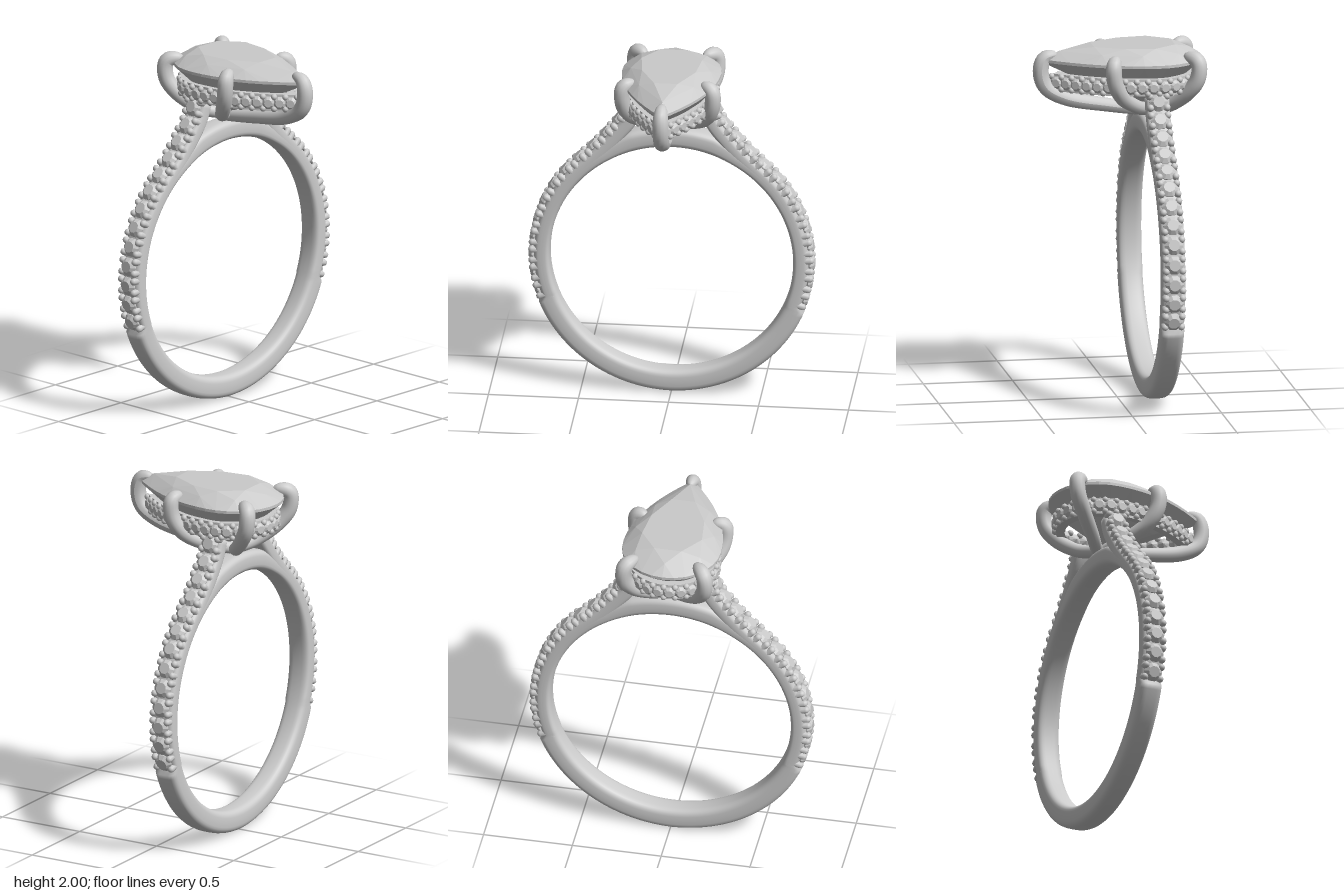
import * as THREE from 'three';
import { ConvexGeometry } from 'three/addons/geometries/ConvexGeometry.js';

const BAND_Z = -0.19, BAND_Y = 0.805, INNER_R = 0.675;
const V2 = (x, y) => new THREE.Vector2(x, y);
const V3 = (x, y, z) => new THREE.Vector3(x, y, z);
const rad = THREE.MathUtils.degToRad;

// Rounded-rectangle section swept along stations {c, n, h, w}
function sweep(stations, closed) {
  const M = 28, N = stations.length, pos = [], idx = [];
  const soft = (v) => Math.sign(v) * Math.pow(Math.abs(v), 0.6);
  for (const { c, n, h, w } of stations) {
    for (let j = 0; j < M; j++) {
      const a = (j / M) * Math.PI * 2, k = h * soft(Math.cos(a));
      pos.push(c.x + n.x * k, c.y + n.y * k, w * soft(Math.sin(a)));
    }
  }
  for (let i = 0; i < (closed ? N : N - 1); i++) {
    for (let j = 0; j < M; j++) {
      const i2 = (i + 1) % N, j2 = (j + 1) % M;
      const a = i * M + j, b = i2 * M + j, c = i2 * M + j2, d = i * M + j2;
      idx.push(a, b, d, b, c, d);
    }
  }
  const g = new THREE.BufferGeometry();
  g.setAttribute('position', new THREE.Float32BufferAttribute(pos, 3));
  g.setIndex(idx);
  g.computeVertexNormals();
  return g;
}

// Outer radius of the band at a given elevation in degrees
function outerRadius(el) {
  if (el < -21) return 0.795 + 0.01 * ((-21 - el) / 69);
  if (el < 60) return 0.76;
  return 0.76 + 0.03 * Math.min(1, (el - 60) / 12);
}

// Pear outline in (x, z), t in 0..1 starting at the point, scaled about its middle
function pear(t, s = 1) {
  const side = t < 0.5 ? 1 : -1, u = t < 0.5 ? t * 2 : (1 - t) * 2;
  let x, z;
  if (u < 0.58) {
    const k = 1 - u / 0.58;
    x = 0.275 * (1 - k * k);
    z = -0.195 + 0.615 * k;
  } else {
    const a = ((u - 0.58) / 0.42) * Math.PI / 2;
    x = 0.275 * Math.cos(a);
    z = -0.195 - 0.275 * Math.sin(a);
  }
  return V2(side * x * s, -0.1 + (z + 0.1) * s);
}

// Small round cut stone, table towards +y
function roundStone(r) {
  const p = [V2(0, -0.6 * r), V2(r, -0.05 * r), V2(r, 0.06 * r), V2(0.6 * r, 0.42 * r), V2(0, 0.42 * r)];
  const g = new THREE.LatheGeometry(p, 10).toNonIndexed();
  g.computeVertexNormals();
  return g;
}

// Tapered claw along a smooth path
function claw(points) {
  const SEG = 48, RAD = 14;
  const path = new THREE.CatmullRomCurve3(points.map((p) => V3(...p)));
  const g = new THREE.TubeGeometry(path, SEG, 0.042, RAD);
  const pos = g.attributes.position, v = V3(0, 0, 0);
  for (let i = 0; i <= SEG; i++) {
    const u = i / SEG, c = path.getPointAt(u);
    const tip = u > 0.82 ? Math.sqrt(Math.max(0, 1 - ((u - 0.82) / 0.18) ** 2)) : 1;
    const f = tip * (0.8 + 0.25 * Math.min(1, u / 0.6));
    for (let j = 0; j <= RAD; j++) {
      const k = i * (RAD + 1) + j;
      v.fromBufferAttribute(pos, k).sub(c).multiplyScalar(f).add(c);
      pos.setXYZ(k, v.x, v.y, v.z);
    }
  }
  g.computeVertexNormals();
  return g;
}

export function createModel() {
  const metal = new THREE.MeshStandardMaterial({ color: 0xcccccc });
  metal.name = 'metal';
  const gem = new THREE.MeshStandardMaterial({ color: 0xcacaca });
  gem.name = 'gemstone';
  const model = new THREE.Group();
  model.name = 'ring';
  const add = (parent, name, geo, mat, at, up) => {
    const m = new THREE.Mesh(geo, mat);
    m.name = name;
    if (at) m.position.copy(at);
    if (up) m.quaternion.setFromUnitVectors(V3(0, 1, 0), up);
    parent.add(m);
    return m;
  };

  // Band with its bridge under the setting
  const ring = [];
  for (let i = 0; i < 180; i++) {
    const a = rad(i * 2), n = V2(Math.cos(a), Math.sin(a));
    const R = outerRadius(THREE.MathUtils.radToDeg(Math.asin(n.y)));
    const mid = (R + INNER_R) / 2;
    ring.push({ c: V2(n.x * mid, BAND_Y + n.y * mid), n, h: (R - INNER_R) / 2, w: 0.067 });
  }
  add(model, 'band', sweep(ring, true), metal, V3(0, 0, BAND_Z));

  // Shoulders rising to the setting, set with a row of stones
  const floor = [];
  for (let d = -21; d <= 45; d += 6) {
    floor.push(V3(0.765 * Math.cos(rad(d)), BAND_Y + 0.765 * Math.sin(rad(d)), 0));
  }
  floor.push(V3(0.43, 1.455, 0), V3(0.335, 1.565, 0), V3(0.265, 1.66, 0), V3(0.225, 1.765, 0));
  const path = new THREE.CatmullRomCurve3(floor);
  const frame = (u) => {
    const t = path.getTangentAt(u);
    return { p: path.getPointAt(u), t, n: V3(t.y, -t.x, 0) };
  };
  const rail = [];
  for (let i = 0; i <= 60; i++) {
    const { p, n } = frame(i / 60), end = i === 60 ? 0.02 : 1;
    rail.push({ c: V2(p.x - n.x * 0.043, p.y - n.y * 0.043), n, h: 0.043 * end, w: 0.067 * end });
  }
  const railGeo = sweep(rail, false);
  const stoneGeo = roundStone(0.053);
  const beadGeo = new THREE.CapsuleGeometry(0.02, 0.03, 4, 8);
  const COUNT = 13;
  for (const side of [0, Math.PI]) {
    const shoulder = new THREE.Group();
    shoulder.name = side ? 'rightShoulder' : 'leftShoulder';
    shoulder.position.z = BAND_Z;
    shoulder.rotation.y = side;
    model.add(shoulder);
    add(shoulder, 'shoulderRail', railGeo, metal);
    for (let i = 0; i <= COUNT; i++) {
      if (i < COUNT) {
        const { p, n } = frame((i + 0.5) / COUNT);
        add(shoulder, 'bandStone', stoneGeo, gem, p.clone().addScaledVector(n, 0.006), n);
      }
      // Beads in pairs at the edges, between neighbouring stones
      const { p, t, n } = frame(i / COUNT);
      for (const along of [-0.022, 0.022]) {
        if ((i === 0 && along < 0) || (i === COUNT && along > 0)) continue;
        for (const z of [-0.046, 0.046]) {
          const at = p.clone().addScaledVector(t, along).addScaledVector(n, -0.006);
          add(shoulder, 'bandBead', beadGeo, metal, at.setZ(z), n);
        }
      }
    }
  }

  // Pear-cut centre stone: table, crown, girdle, pavilion and culet
  const pts = [];
  const tier = (count, shift, scale, y) => {
    for (let i = 0; i < count; i++) {
      const p = pear((i + shift) / count, scale);
      pts.push(V3(p.x, y, p.y));
    }
  };
  tier(8, 0.5, 0.62, 2.0);
  tier(8, 0, 0.82, 1.971);
  tier(32, 0, 1, 1.926);
  tier(32, 0, 1, 1.91);
  tier(8, 0.5, 0.55, 1.765);
  pts.push(V3(0, 1.64, -0.15));
  add(model, 'centreStone', new ConvexGeometry(pts), gem);

  // Halo rail under the centre stone
  const outline = (s) => Array.from({ length: 64 }, (_, i) => pear(i / 64, s));
  const shape = new THREE.Shape(outline(0.89));
  shape.holes.push(new THREE.Path(outline(0.75)));
  const halo = new THREE.ExtrudeGeometry(shape, { depth: 0.096, bevelEnabled: false });
  halo.rotateX(Math.PI / 2);
  add(model, 'haloRail', halo, metal, V3(0, 1.844, 0));

  // Halo stones facing outwards, with beads between them
  const loop = new THREE.CatmullRomCurve3(outline(0.89).map((p) => V3(p.x, 1.796, p.y)), true);
  const haloStone = roundStone(0.037);
  const haloBead = new THREE.SphereGeometry(0.018, 8, 6);
  const HALO = 32;
  for (let i = 0; i < HALO; i++) {
    const out = (u) => {
      const t = loop.getTangentAt(u);
      return V3(-t.z, 0, t.x).normalize();
    };
    const u = (i + 0.5) / HALO, n = out(u);
    add(model, 'haloStone', haloStone, gem, loop.getPointAt(u).addScaledVector(n, 0.005), n);
    for (const dy of [-0.034, 0.034]) {
      const at = loop.getPointAt(i / HALO).addScaledVector(out(i / HALO), 0.004);
      at.y += dy;
      add(model, 'haloBead', haloBead, metal, at);
    }
  }

  // Five claws meeting above the bridge
  add(model, 'frontClaw', claw([[0, 1.62, -0.17], [0, 1.655, 0.05], [0, 1.705, 0.29], [0, 1.77, 0.4],
    [0, 1.86, 0.428], [0, 1.935, 0.405], [0, 1.955, 0.33]]), metal);
  for (const s of [-1, 1]) {
    const name = s > 0 ? 'left' : 'right';
    add(model, name + 'SideClaw', claw([[0, 1.625, -0.18], [s * 0.12, 1.665, -0.09], [s * 0.215, 1.745, 0.01],
      [s * 0.25, 1.84, 0.055], [s * 0.243, 1.93, 0.058], [s * 0.18, 1.955, 0.03]]), metal);
    add(model, name + 'BackClaw', claw([[0, 1.625, -0.2], [s * 0.1, 1.66, -0.27], [s * 0.19, 1.745, -0.36],
      [s * 0.228, 1.84, -0.415], [s * 0.22, 1.93, -0.415], [s * 0.16, 1.955, -0.345]]), metal);
  }
  return model;
}
